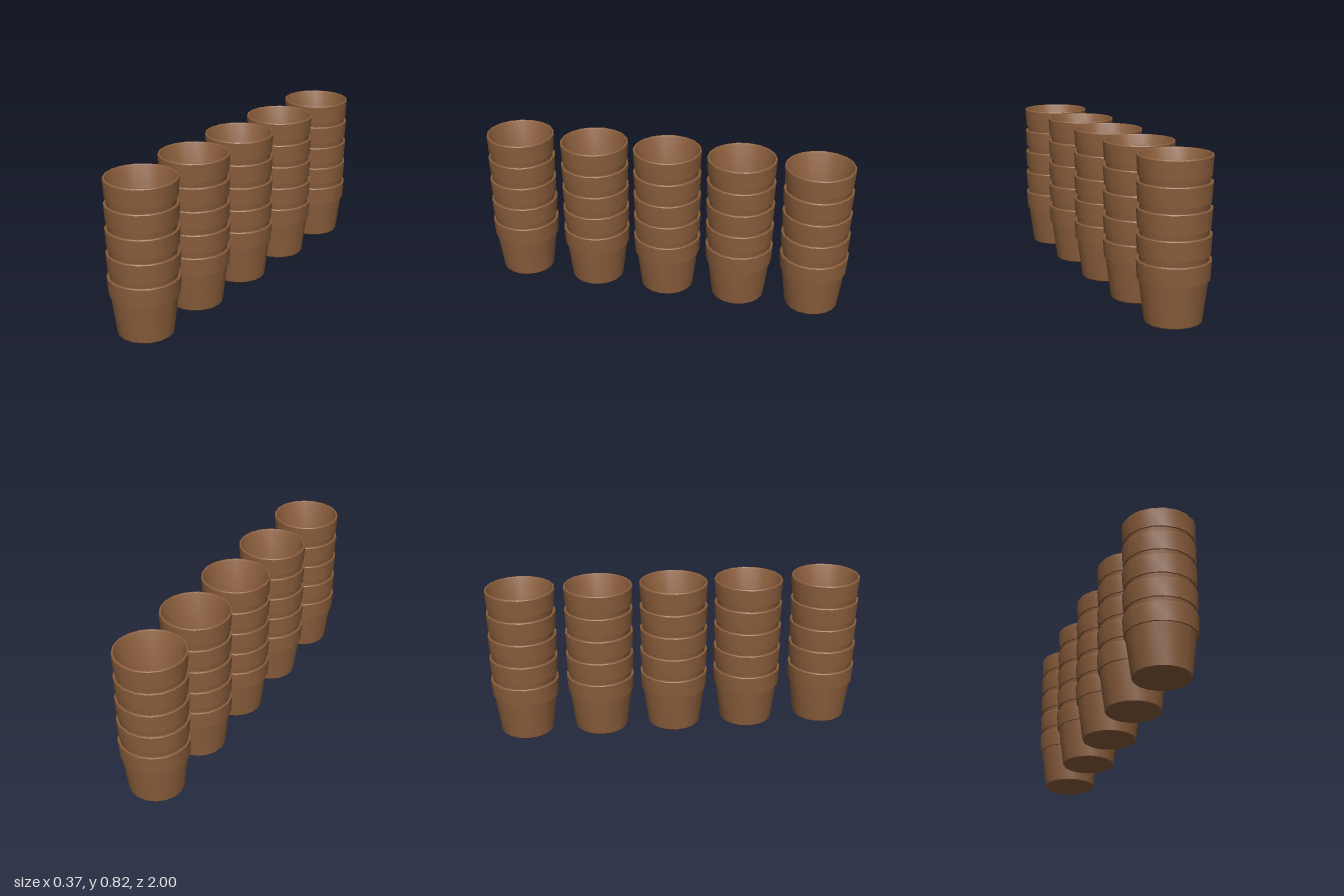
import * as THREE from 'three';
import { toCreasedNormals } from 'three/addons/utils/BufferGeometryUtils.js';

const SIDES = 18;
const POTS_PER_STACK = 5;
const NEST_STEP = 0.1266;
const STACK_Z = [0.819, 0.398, -0.008, -0.411, -0.819];

// Closed pot section: underside, tapered body, stepped collar, lip, inner wall, floor
const potProfile = [
  [0, 0], [0.138, 0], [0.143, 0.005],
  [0.17, 0.215], [0.178, 0.215],
  [0.184, 0.309], [0.181, 0.314], [0.174, 0.314],
  [0.171, 0.309], [0.135, 0.012], [0, 0.012],
].map(([r, y]) => new THREE.Vector2(r, y));

export function createModel() {
  const model = new THREE.Group();
  model.name = 'stackedFlowerPots';

  const clay = new THREE.MeshStandardMaterial({ color: 0x8b5e3c });
  clay.name = 'brownClay';

  const potGeometry = toCreasedNormals(
    new THREE.LatheGeometry(potProfile, SIDES).rotateY(Math.PI / 2),
    THREE.MathUtils.degToRad(32),
  );

  // Five stacks in a row, each of five nested pots
  STACK_Z.forEach((z, s) => {
    const stack = new THREE.Group();
    stack.name = `potStack${s + 1}`;
    stack.position.z = z;
    for (let i = 0; i < POTS_PER_STACK; i++) {
      const pot = new THREE.Mesh(potGeometry, clay);
      pot.name = `pot${i + 1}`;
      pot.position.y = i * NEST_STEP;
      stack.add(pot);
    }
    model.add(stack);
  });

  return model;
}
